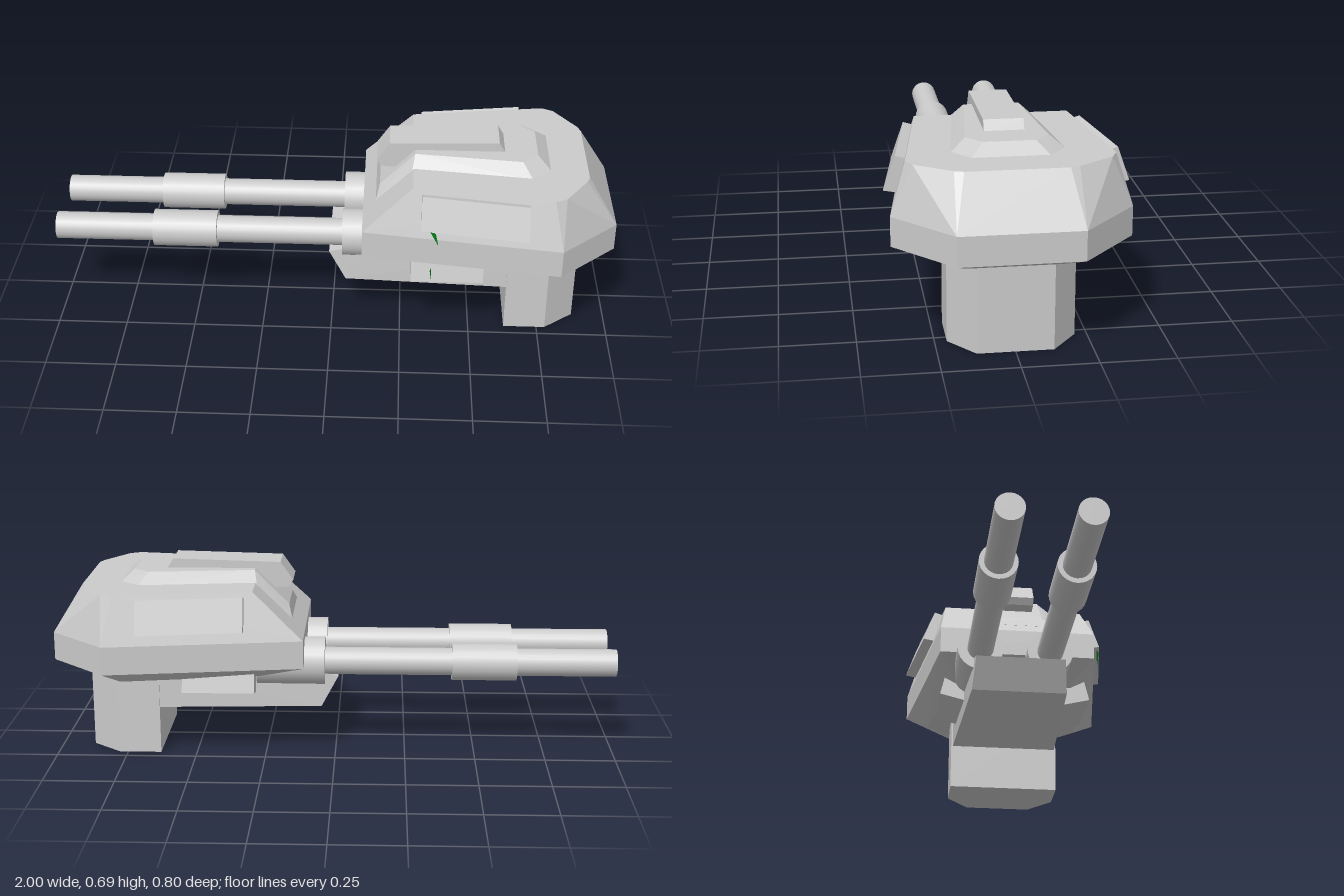
import * as THREE from 'three';
import { ConvexGeometry } from 'three/addons/geometries/ConvexGeometry.js';

const grey = new THREE.MeshStandardMaterial({ color: 0xcccccc, flatShading: true });
const smooth = new THREE.MeshStandardMaterial({ color: 0xcccccc });
const green = new THREE.MeshStandardMaterial({ color: 0x0a8a1a, side: THREE.DoubleSide });

// Faceted solid around points [x, y, z]
function solid(name, pts) {
  const mesh = new THREE.Mesh(new ConvexGeometry(pts.map(p => new THREE.Vector3(...p))), grey);
  mesh.name = name;
  return mesh;
}

// Points on both sides of the centre line
const mirror = pts => pts.flatMap(([x, y, z]) => [[x, y, z], [x, y, -z]]);

// Cylinder lying along x
function rod(name, x0, x1, r, z) {
  const geo = new THREE.CylinderGeometry(r, r, x1 - x0, 24).rotateZ(Math.PI / 2);
  const mesh = new THREE.Mesh(geo, smooth);
  mesh.position.set((x0 + x1) / 2, 0.333, z);
  mesh.name = name;
  return mesh;
}

// Side profile in x and y, extruded across z
function profile(name, pts, halfWidth) {
  const shape = new THREE.Shape(pts.map(p => new THREE.Vector2(...p)));
  const geo = new THREE.ExtrudeGeometry(shape, { depth: halfWidth * 2, bevelEnabled: false });
  const mesh = new THREE.Mesh(geo.translate(0, 0, -halfWidth), grey);
  mesh.name = name;
  return mesh;
}

function triangle(name, pts) {
  const geo = new THREE.BufferGeometry().setFromPoints(pts.map(p => new THREE.Vector3(...p)));
  geo.computeVertexNormals();
  const mesh = new THREE.Mesh(geo, green);
  mesh.name = name;
  return mesh;
}

export function createModel() {
  const model = new THREE.Group();
  model.name = 'gunTurret';

  // Armoured hull: bottom, belt, and top with cut corners
  const belt = [[0.11, 0.29], [0.80, 0.387], [1.0, 0.2]];
  const top = [[0.285, 0.265], [0.765, 0.335], [0.805, 0.315], [0.885, 0.195], [0.895, 0.165]];
  const bottom = [[0.27, 0.22], [0.75, 0.3], [0.89, 0.15]];
  const ring = (pts, y) => pts.map(([x, z]) => [x, y, z]);
  model.add(solid('hull', mirror([
    ...ring(bottom, 0.295), ...ring(belt, 0.345), ...ring(belt, 0.445), ...ring(top, 0.615),
  ])));

  // Raised roof plate that folds down over the front slope
  model.add(solid('roofPlate', mirror([
    [0.155, 0.49, 0.145], [0.168, 0.53, 0.1],
    [0.28, 0.61, 0.14], [0.70, 0.61, 0.19], [0.77, 0.61, 0.13],
    [0.29, 0.652, 0.095], [0.665, 0.652, 0.135], [0.72, 0.652, 0.085],
  ])));
  model.add(profile('roofBar', [
    [0.155, 0.61], [0.17, 0.585], [0.23, 0.58], [0.29, 0.645], [0.61, 0.645], [0.585, 0.685], [0.2, 0.675],
  ], 0.066));

  // Pedestal and the beam under the guns
  const foot = [[0.63, 0.21], [0.78, 0.21], [0.885, 0.125]];
  model.add(solid('pedestal', mirror([...ring(foot, 0), ...ring(foot, 0.31)])));
  model.add(solid('gunBeam', mirror([
    [-0.01, 0.28, 0.165], [0.05, 0.17, 0.175], [0.65, 0.17, 0.205], [0.65, 0.31, 0.205], [0.1, 0.31, 0.175],
  ])));

  // Twin guns
  for (const z of [-0.146, 0.114]) {
    const gun = new THREE.Group();
    gun.name = 'gun';
    gun.add(
      rod('barrel', -1, 0.2, 0.049, z),
      rod('sleeve', -0.645, -0.415, 0.066, z),
      rod('collar', 0.037, 0.28, 0.085, z),
    );
    model.add(gun);
  }

  for (const s of [1, -1]) {
    // Slanted side panel
    const panel = [];
    for (const [x, dz] of [[0.315, -0.055], [0.68, 0]]) {
      for (const [y, z] of [[0.605, 0.36], [0.49, 0.4], [0.48, 0.345], [0.59, 0.31]]) {
        panel.push([x, y, s * (z + dz)]);
      }
    }
    model.add(solid('sidePanel', panel));

    // Tilted pod below the hull
    const pod = new THREE.Mesh(new THREE.BoxGeometry(0.255, 0.09, 0.17), grey);
    pod.position.set(0.412, 0.272, s * 0.194 + 0.009);
    pod.rotation.x = -s * 0.24;
    pod.name = 'sidePod';
    model.add(pod);
  }

  // Small green slivers beside the left panel and pod
  model.add(triangle('upperSliver', [[0.34, 0.495, 0.338], [0.365, 0.485, 0.352], [0.375, 0.432, 0.345]]));
  model.add(triangle('lowerSliver', [[0.35, 0.3, 0.306], [0.355, 0.3, 0.285], [0.357, 0.25, 0.297]]));

  return model;
}
